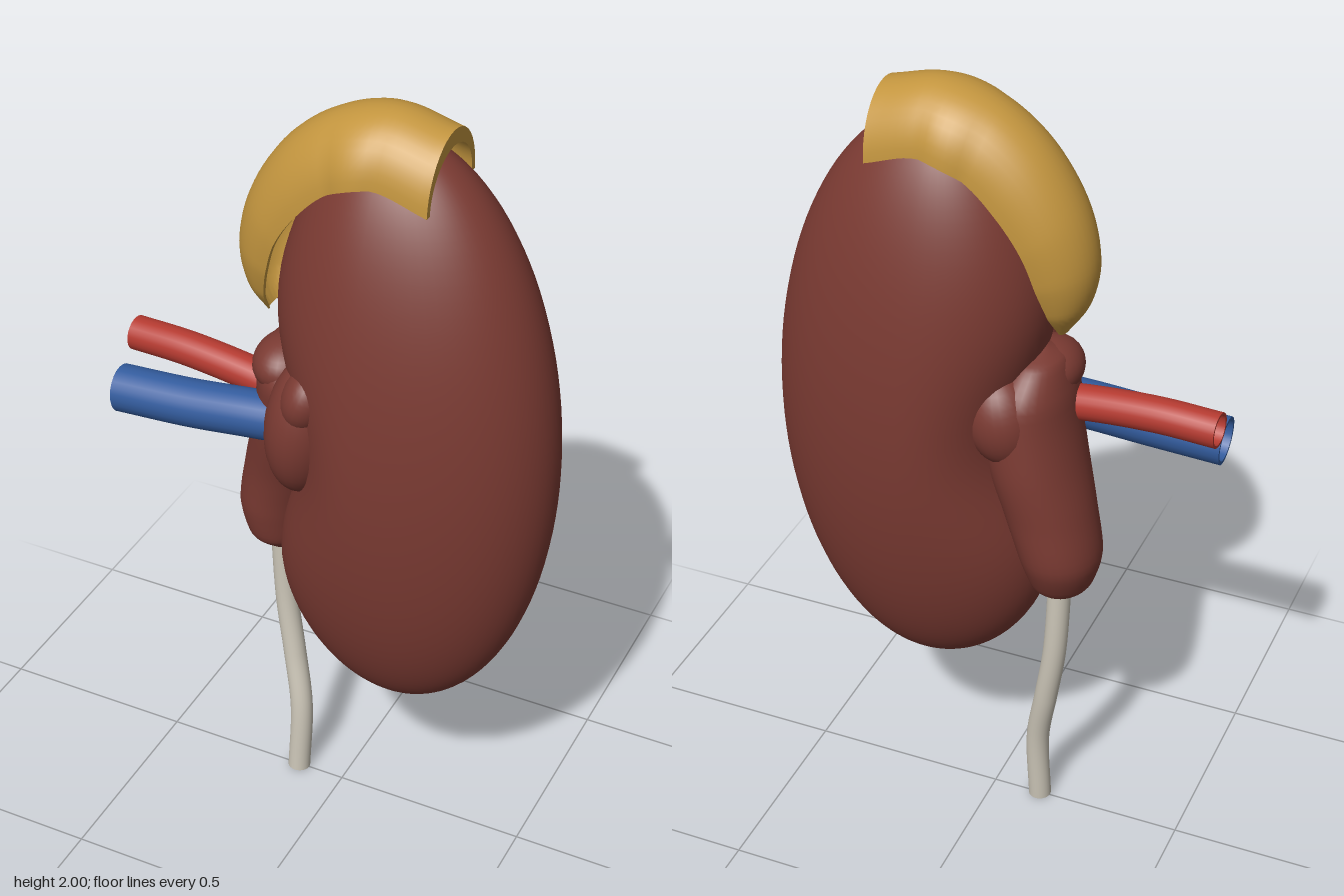
import * as THREE from 'three';
import { toCreasedNormals } from 'three/addons/utils/BufferGeometryUtils.js';

const V = (x, y, z = 0) => new THREE.Vector3(x, y, z);
const spline = (pts) => new THREE.CatmullRomCurve3(pts.map((p) => V(...p)));
const mat = (name, color) => Object.assign(new THREE.MeshStandardMaterial({ color }), { name });

// Skin a surface over closed cross-section loops
function loft(loops) {
  const n = loops[0].length;
  const index = [];
  for (let i = 0; i < loops.length - 1; i++) {
    for (let j = 0; j < n; j++) {
      const a = i * n + j, b = i * n + (j + 1) % n;
      index.push(a, b, a + n, b, b + n, a + n);
    }
  }
  const geo = new THREE.BufferGeometry().setFromPoints(loops.flat());
  geo.setIndex(index);
  geo.computeVertexNormals();
  return geo;
}

// Bean-shaped body: ellipse sections with a notch on the -x side
function bodyGeometry() {
  const loops = [];
  for (let i = 0; i <= 56; i++) {
    const t = Math.PI * (0.004 + 0.992 * i / 56);
    const c = Math.cos(t), s = Math.sin(t);
    const y = 1.17 + 0.762 * c;
    const notch = 0.14 * Math.exp(-(((y - 1.13) / 0.28) ** 2));
    const loop = [];
    for (let j = 0; j < 64; j++) {
      const p = j / 64 * Math.PI * 2;
      const cp = Math.cos(p);
      const rx = cp > 0 ? 0.397 * s : (0.36 - 0.05 * c) * s - notch;
      loop.push(V(0.147 - 0.025 * c + rx * cp, y, 0.253 * s * Math.sin(p) - 0.015 * c));
    }
    loops.push(loop);
  }
  return loft(loops);
}

// Funnel that gathers at the notch and narrows to the lower duct
function funnelGeometry() {
  const centres = spline([[-0.12, 1.375, 0], [-0.115, 1.35, 0], [-0.1, 1.26, -0.01], [-0.12, 1.1, -0.03],
    [-0.16, 0.96, -0.045], [-0.19, 0.84, -0.05], [-0.19, 0.75, -0.04], [-0.185, 0.7, -0.035]]);
  const radii = spline([[0.004, 0.004], [0.06, 0.09], [0.105, 0.15], [0.115, 0.145],
    [0.11, 0.125], [0.1, 0.115], [0.075, 0.085], [0.025, 0.025]]);
  const loops = [];
  for (let i = 0; i <= 40; i++) {
    const c = centres.getPoint(i / 40), r = radii.getPoint(i / 40);
    const loop = [];
    for (let j = 0; j < 32; j++) {
      const p = j / 32 * Math.PI * 2;
      loop.push(V(c.x + r.x * Math.cos(p), c.y, c.z + r.y * Math.sin(p)));
    }
    loops.push(loop);
  }
  return loft(loops);
}

// Arched shell draped over the upper end, thick walled
function capGeometry() {
  const crest = spline([[0.265, 1.972], [0.13, 2.0], [0, 1.97], [-0.12, 1.885], [-0.215, 1.74], [-0.248, 1.6], [-0.23, 1.5], [-0.182, 1.425]]);
  const rim = spline([[0.262, 1.82], [0.13, 1.857], [0.03, 1.825], [-0.05, 1.75], [-0.11, 1.66], [-0.14, 1.57], [-0.16, 1.49], [-0.17, 1.43]]);
  const width = spline([[0.128, 0], [0.13, 0], [0.13, 0], [0.128, 0], [0.122, 0], [0.108, 0], [0.08, 0], [0.035, 0]]);
  const N = 48, A = 20;
  const loops = [];
  const addSection = (t, closed) => {
    const o = crest.getPoint(t), r = rim.getPoint(t), w = width.getPoint(t).x;
    const arc = (k) => Array.from({ length: A + 1 }, (_, j) => {
      const a = Math.PI * j / A;
      const p = r.clone().lerp(o, k * Math.sin(a));
      p.z = w * (0.5 + 0.5 * k) * Math.cos(a);
      return p;
    });
    loops.push([...arc(closed ? 0.75 : 1), ...arc(0.75).reverse()]);
  };
  addSection(0, true);
  for (let i = 0; i <= N; i++) addSection(i / N, false);
  addSection(1, true);
  return toCreasedNormals(loft(loops), 0.9);
}

export function createModel() {
  const model = new THREE.Group();
  const flesh = mat('brownFlesh', 0x7a3a32);
  const gold = mat('goldCap', 0xc4963f);
  const red = mat('redVessel', 0xb53a30);
  const blue = mat('blueVessel', 0x335c9e);
  const pale = mat('paleDuct', 0xcbc5b7);
  for (const m of [gold, red, blue, pale]) m.side = THREE.DoubleSide;

  const add = (name, geo, material, parent = model) => {
    const mesh = new THREE.Mesh(geo, material);
    mesh.name = name;
    parent.add(mesh);
    return mesh;
  };

  add('kidneyBody', bodyGeometry(), flesh);
  add('adrenalCap', capGeometry(), gold);

  // Funnel with lobes that wrap the front and back of the notch
  const pelvis = new THREE.Group();
  pelvis.name = 'renalPelvis';
  model.add(pelvis);
  add('funnel', funnelGeometry(), flesh, pelvis);
  const lobes = [
    ['frontLobe', [-0.035, 1.2, 0.115], [0.095, 0.185, 0.115], -0.1],
    ['frontUpperLobe', [-0.01, 1.3, 0.14], [0.065, 0.09, 0.09], -0.3],
    ['upperLobe', [-0.125, 1.3, 0.03], [0.08, 0.068, 0.1], 0],
    ['backLobe', [-0.06, 1.22, -0.1], [0.09, 0.12, 0.09], -0.2],
  ];
  for (const [name, pos, size, tilt] of lobes) {
    const lobe = add(name, new THREE.SphereGeometry(1, 28, 20), flesh, pelvis);
    lobe.position.set(...pos);
    lobe.scale.set(...size);
    lobe.rotation.z = tilt;
  }

  // Hollow pipes: outer wall, inner wall and a ring closing the free end
  const pipe = (name, pts, r, bore, material) => {
    const group = new THREE.Group();
    group.name = name;
    model.add(group);
    const path = spline(pts);
    add('outerWall', new THREE.TubeGeometry(path, 40, r, 24), material, group);
    add('innerWall', new THREE.TubeGeometry(path, 40, r * bore, 24), material, group);
    const rim = add('endRing', new THREE.RingGeometry(r * bore, r, 24), material, group);
    rim.position.copy(path.getPoint(0));
    rim.quaternion.setFromUnitVectors(V(0, 0, 1), path.getTangent(0).negate());
  };
  pipe('artery', [[-0.55, 1.242, 0.005], [-0.4, 1.242, 0.013], [-0.22, 1.225, 0.023], [-0.08, 1.2, 0.03]], 0.043, 0.85, red);
  pipe('vein', [[-0.537, 1.147, 0.108], [-0.35, 1.157, 0.105], [-0.2, 1.17, 0.098], [-0.08, 1.178, 0.09]], 0.059, 0.85, blue);
  pipe('ureter', [[-0.125, 0, 0.002], [-0.122, 0.2, -0.01], [-0.15, 0.36, -0.03], [-0.175, 0.52, -0.04], [-0.187, 0.76, -0.04]], 0.029, 0.5, pale);

  return model;
}
